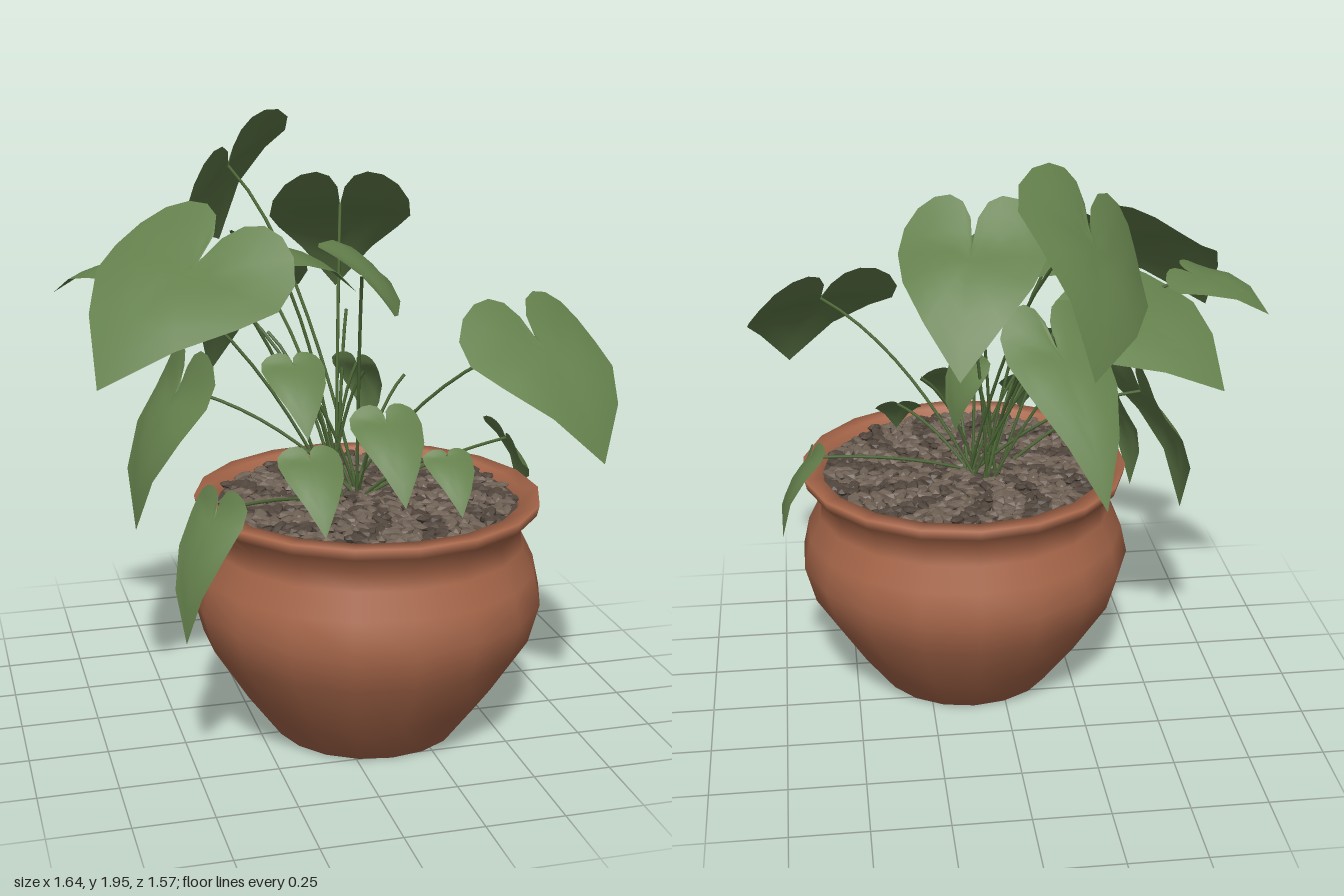
import * as THREE from 'three';
import { mergeGeometries } from 'three/addons/utils/BufferGeometryUtils.js';

const V = (x, y, z) => new THREE.Vector3(x, y, z);
const UP = V(0, 1, 0);
const STEPS = 10;
const RINGS = 4;

// Heart outline as [u, v]: u runs from notch (0) to tip (1), v is the half width
const OUTLINE = Array.from({ length: 2 * STEPS }, (_, i) => {
  const t = i <= STEPS ? i / STEPS : 2 - i / STEPS;
  const v = Math.sin(Math.PI * t ** 1.8);
  return [t ** 1.6 - 2.4 * t * (1 - t), i <= STEPS ? v : -v];
});

// Grown leaves: notch, tip, half width, roll about the midrib
const GROWN = {
  backTopLeaf: [V(-0.2, 1.77, -0.4), V(-0.16, 1.46, -0.78), 0.26, 0.76],
  backLeftLeaf: [V(0.11, 1.67, -0.12), V(0.18, 1.34, -0.43), 0.23],
  centreLeaf: [V(-0.19, 1.58, 0.09), V(0.11, 1.42, 0.08), 0.18],
  upperFrontLeaf: [V(0.03, 1.54, 0.42), V(0.13, 1.5, 0.13), 0.16, -0.72],
  largeRightLeaf: [V(-0.43, 1.57, 0.25), V(-0.77, 1.25, 0.46), 0.31, 0.3],
  backRightLeaf: [V(-0.35, 1.45, -0.15), V(-0.63, 1.26, -0.39), 0.245, -0.25],
  lowBackLeaf: [V(-0.12, 1.4, -0.3), V(-0.23, 1, -0.65), 0.165],
  farRightLeaf: [V(-0.6, 1.52, -0.03), V(-0.82, 1.42, -0.16), 0.145],
  hangingRightLeaf: [V(-0.45, 1.12, -0.01), V(-0.61, 0.67, 0.04), 0.175],
  hangingFrontLeaf: [V(-0.44, 0.88, 0.53), V(-0.55, 0.5, 0.6), 0.11],
  largeLeftLeaf: [V(0.57, 1.32, 0.47), V(0.69, 1, 0.74), 0.27],
  hangingLeftLeaf: [V(0.63, 0.9, 0.08), V(0.73, 0.68, -0.05), 0.115, -0.74],
  sideLeaf: [V(0.1, 1.2, 0.12), V(0.15, 0.97, 0.08), 0.09],
};

// Young leaves all lean forward: notch, half width
const YOUNG = {
  frontLeaf: [V(0.13, 1.07, 0.35), 0.115],
  lowFrontLeaf: [V(-0.14, 1, 0.46), 0.1],
  innerLeaf: [V(-0.14, 1.24, 0.25), 0.1],
  smallLeaf: [V(0.32, 0.95, 0.39), 0.08],
};

// Heart-shaped blade made of rings growing from its middle to the outline
function leafGeometry(notch, tip, width, roll = 0) {
  const axis = tip.clone().sub(notch), len = axis.length();
  const dir = axis.clone().normalize();
  const side = dir.clone().cross(UP).normalize().applyAxisAngle(dir, -roll);
  const normal = side.clone().cross(dir);
  const lobe = Math.min(1.1, 4.5 * width);
  const pos = [], index = [], n = OUTLINE.length;
  const add = (u, v) => {
    const bulge = 0.45 * len * Math.max(u, 0) * (1 - u) + width * (0.06 * Math.abs(v) - 0.22 * v * v);
    const p = notch.clone().addScaledVector(axis, u)
      .addScaledVector(side, v * width).addScaledVector(normal, bulge);
    pos.push(p.x, p.y, p.z);
  };
  add(0.15, 0);
  for (let r = 1; r <= RINGS; r++) {
    const k = r / RINGS;
    for (const [u, v] of OUTLINE) add(0.15 + ((u < 0 ? u * lobe : u) - 0.15) * k, v * k);
  }
  for (let i = 0; i < n; i++) {
    const j = (i + 1) % n;
    index.push(0, 1 + j, 1 + i);
    for (let r = 0; r < RINGS - 1; r++) {
      const a = 1 + r * n, c = a + n;
      index.push(a + i, c + j, c + i, a + i, a + j, c + j);
    }
  }
  const g = new THREE.BufferGeometry();
  g.setAttribute('position', new THREE.Float32BufferAttribute(pos, 3));
  g.setIndex(index);
  g.computeVertexNormals();
  return g;
}

// Thin stem arching from the crown to its end
function stemGeometry(end, i) {
  const start = V(0.05 + 0.05 * Math.cos(i * 2.4), 0.76, 0.16 + 0.05 * Math.sin(i * 2.4));
  const ctrl = start.clone().lerp(end, 0.45);
  ctrl.y = 0.76 + (end.y - 0.76) * 0.8;
  return new THREE.TubeGeometry(new THREE.QuadraticBezierCurve3(start, ctrl, end), 10, 0.0055, 5);
}

export function createModel() {
  const model = new THREE.Group();
  const material = (name, color, extra = {}) => {
    const m = new THREE.MeshStandardMaterial({ color, ...extra });
    m.name = name;
    return m;
  };
  const terracotta = material('terracotta', 0xa8674a);
  const leafGreen = material('leaf green', 0x64804c, { side: THREE.DoubleSide });
  const stemGreen = material('stem green', 0x4f6a38);
  const soilDark = material('dark soil', 0x51463d, { flatShading: true });
  const soilLight = material('light soil', 0x6e6054, { flatShading: true });
  const add = (name, geometry, mat, parent = model) => {
    const mesh = new THREE.Mesh(geometry, mat);
    mesh.name = name;
    parent.add(mesh);
    return mesh;
  };

  // Pot, with a flared rim and open mouth
  const profile = [[0, 0.012], [0.285, 0.008], [0.305, 0.012], [0.415, 0.16], [0.53, 0.34], [0.565, 0.47],
    [0.543, 0.57], [0.503, 0.65], [0.495, 0.71], [0.545, 0.765], [0.553, 0.8], [0.495, 0.8], [0.47, 0.72],
  ].map(([r, y]) => new THREE.Vector2(r, y));
  const pot = new THREE.Group();
  pot.name = 'pottedBase';
  pot.position.set(0.11, 0, 0.22);
  model.add(pot);
  add('pot', new THREE.LatheGeometry(profile, 18), terracotta, pot);

  // Soil bed covered with small stones
  const bed = add('soilBed', new THREE.CircleGeometry(0.485, 18), soilDark, pot);
  bed.rotation.x = -Math.PI / 2;
  bed.position.y = 0.77;
  let seed = 7;
  const rnd = () => (seed = (seed * 16807) % 2147483647) / 2147483647;
  const dark = [], light = [], count = 480;
  for (let i = 0; i < count; i++) {
    const r = 0.46 * Math.sqrt((i + 0.5) / count), a = i * 2.39996;
    const g = new THREE.IcosahedronGeometry(1, 0);
    g.scale(0.028 + 0.014 * rnd(), 0.011 + 0.006 * rnd(), 0.016 + 0.008 * rnd());
    g.rotateZ((rnd() - 0.5) * 0.6);
    g.rotateY(rnd() * Math.PI);
    g.translate(r * Math.cos(a), 0.775 + 0.014 * rnd(), r * Math.sin(a));
    (i % 5 < 3 ? light : dark).push(g);
  }
  add('darkStones', mergeGeometries(dark), soilDark, pot);
  add('lightStones', mergeGeometries(light), soilLight, pot);

  // Leaves and their stems
  const young = Object.entries(YOUNG).map(([name, [notch, width]]) =>
    [name, [notch, notch.clone().add(V(0, -1.9 * width, 1.9 * width)), width]]);
  [...Object.entries(GROWN), ...young].forEach(([name, leaf], i) => {
    add(name, leafGeometry(...leaf), leafGreen);
    add(name + 'Stem', stemGeometry(leaf[0], i), stemGreen);
  });

  // Bare young shoots around the crown
  for (let i = 0; i < 5; i++) {
    const a = i * 1.26;
    const end = V(0.02 + 0.24 * Math.cos(a), 1.15 + 0.05 * i, 0.12 + 0.12 * Math.sin(a));
    add('shoot', stemGeometry(end, i + 0.5), stemGreen);
  }

  return model;
}
